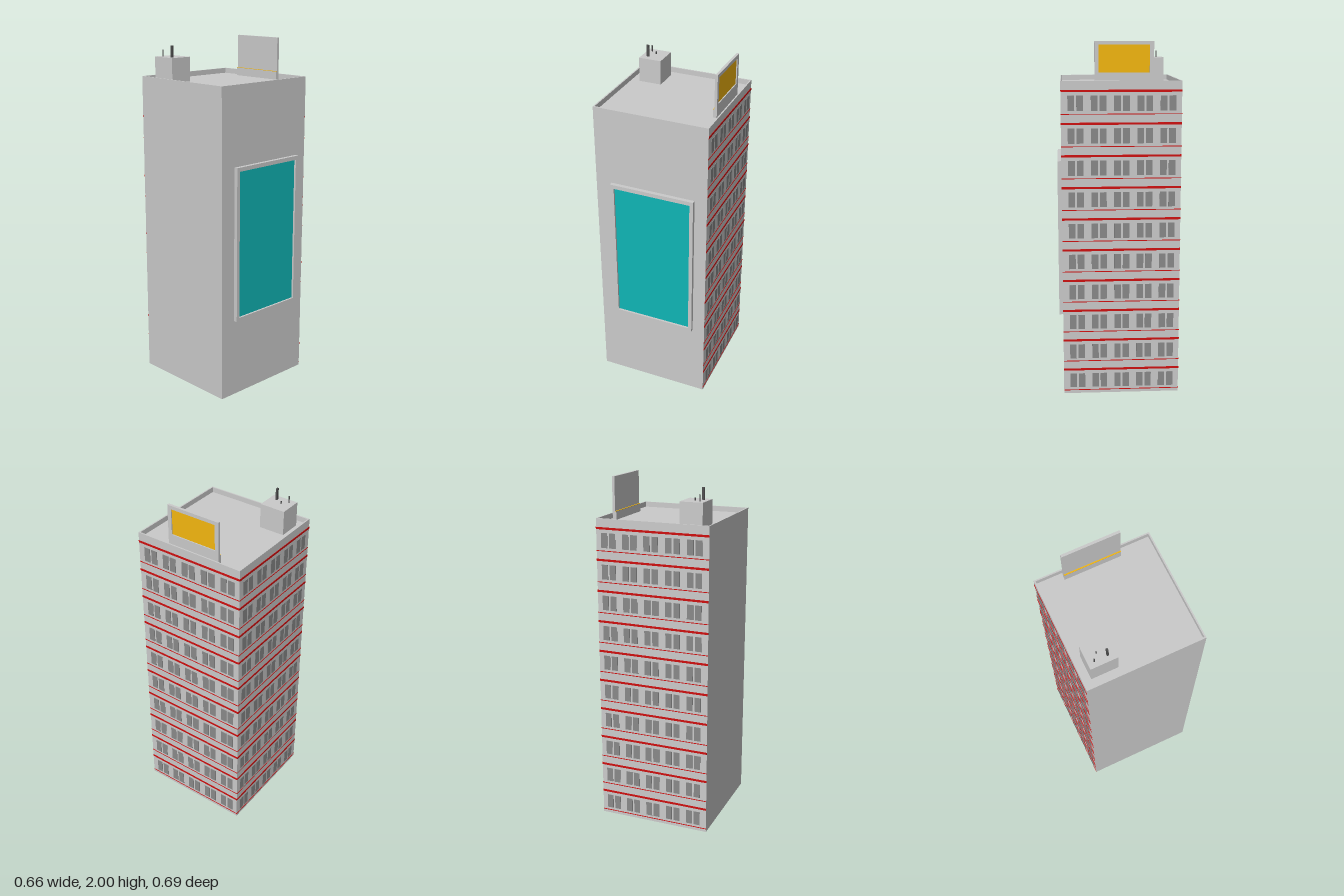
import * as THREE from 'three';

const mat = (color) => new THREE.MeshStandardMaterial({ color });

export function createModel() {
  const grey = mat(0xcccccc), red = mat(0xd01010), glass = mat(0x8a8a8a);
  const dark = mat(0x505050), teal = mat(0x10b5b5), yellow = mat(0xf5b810);
  const root = new THREE.Group();

  // Box given by its minimum and maximum corners
  function box(name, [x0, y0, z0], [x1, y1, z1], material, parent = root) {
    const mesh = new THREE.Mesh(new THREE.BoxGeometry(x1 - x0, y1 - y0, z1 - z0), material);
    mesh.position.set((x0 + x1) / 2, (y0 + y1) / 2, (z0 + z1) / 2);
    mesh.name = name;
    parent.add(mesh);
    return mesh;
  }

  // Rectangular ring in the xy plane, extruded along +z
  function ring(name, [x0, y0, x1, y1], [a0, b0, a1, b1], depth, parent) {
    const corners = (l, b, r, t) => [[l, b], [r, b], [r, t], [l, t]].map((p) => new THREE.Vector2(...p));
    const shape = new THREE.Shape(corners(x0, y0, x1, y1));
    shape.holes.push(new THREE.Path(corners(a0, b0, a1, b1)));
    const mesh = new THREE.Mesh(new THREE.ExtrudeGeometry(shape, { depth, bevelEnabled: false }), grey);
    mesh.name = name;
    parent.add(mesh);
    return mesh;
  }

  // Tower with a sunken roof behind a thin parapet
  const X0 = -0.332, X1 = 0.328, Z0 = -0.34, Z1 = 0.32, ROOF = 1.76, TOP = 1.79, RIM = 0.008;
  box('tower', [X0, 0, Z0], [X1, ROOF, Z1], grey);
  const parapet = ring('parapet', [X0, -Z1, X1, -Z0],
    [X0 + RIM, -Z1 + RIM, X1 - RIM, -Z0 - RIM], TOP - ROOF, root);
  parapet.rotation.x = -Math.PI / 2;
  parapet.position.y = ROOF;

  // Ten floors of red bands and paired windows on the left and back walls
  const OUT = 0.003, PANE = 0.037, PAIR = 0.085, STEP = 0.1265;
  for (let floor = 0; floor < 10; floor++) {
    const y = 0.145 + floor * 0.1768;
    const group = new THREE.Group();
    group.name = 'floor' + (floor + 1);
    root.add(group);
    for (const [name, top, thick] of [['redBand', y + 0.006, 0.012], ['redSillLine', y - 0.123, 0.004]]) {
      box(name + 'Left', [X1, top - thick, Z0], [X1 + 0.002, top, Z1], red, group);
      box(name + 'Back', [X0, top - thick, Z0 - 0.002], [X1, top, Z0], red, group);
    }
    for (let i = 0; i < 5; i++) {
      for (const shift of [0, PAIR - PANE]) {
        const z = -0.308 + i * STEP + shift, x = -0.293 + i * STEP + shift;
        box('windowLeft', [X1, y - 0.108, z], [X1 + OUT, y - 0.025, z + PANE], glass, group);
        box('windowBack', [x, y - 0.108, Z0 - OUT], [x + PANE, y - 0.025, Z0], glass, group);
      }
    }
  }

  // Large screen on the front wall
  const screen = new THREE.Group();
  screen.name = 'frontScreen';
  root.add(screen);
  ring('screenFrame', [-0.238, 0.455, 0.256, 1.345], [-0.217, 0.475, 0.235, 1.322], 0.022, screen)
    .position.z = Z1;
  box('screenPanel', [-0.217, 0.475, Z1], [0.235, 1.322, Z1 + 0.01], teal, screen);

  // Rooftop billboard facing left (+x); its local x axis runs along -z
  const billboard = new THREE.Group();
  billboard.name = 'roofBillboard';
  billboard.position.x = 0.285;
  billboard.rotation.y = Math.PI / 2;
  root.add(billboard);
  ring('billboardFrame', [-0.135, ROOF, 0.188, 2], [-0.112, 1.833, 0.165, 1.98], 0.015, billboard);
  box('billboardBack', [-0.112, 1.833, 0], [0.165, 1.98, 0.006], grey, billboard);
  box('billboardPanel', [-0.112, 1.833, 0.006], [0.165, 1.98, 0.009], yellow, billboard);
  box('billboardFoot', [-0.135, ROOF, -0.007], [0.188, 1.806, 0], grey, billboard);
  box('billboardFootCap', [-0.135, 1.806, -0.007], [0.188, 1.808, 0], yellow, billboard);

  // Roof hut with three masts
  box('roofHut', [-0.275, ROOF, -0.291], [-0.143, 1.9, -0.142], grey);
  box('tallMast', [-0.246, 1.9, -0.188], [-0.231, 1.966, -0.179], dark);
  box('middleMast', [-0.247, 1.9, -0.259], [-0.243, 1.938, -0.253], dark);
  box('shortMast', [-0.211, 1.9, -0.232], [-0.205, 1.916, -0.227], dark);

  return root;
}
